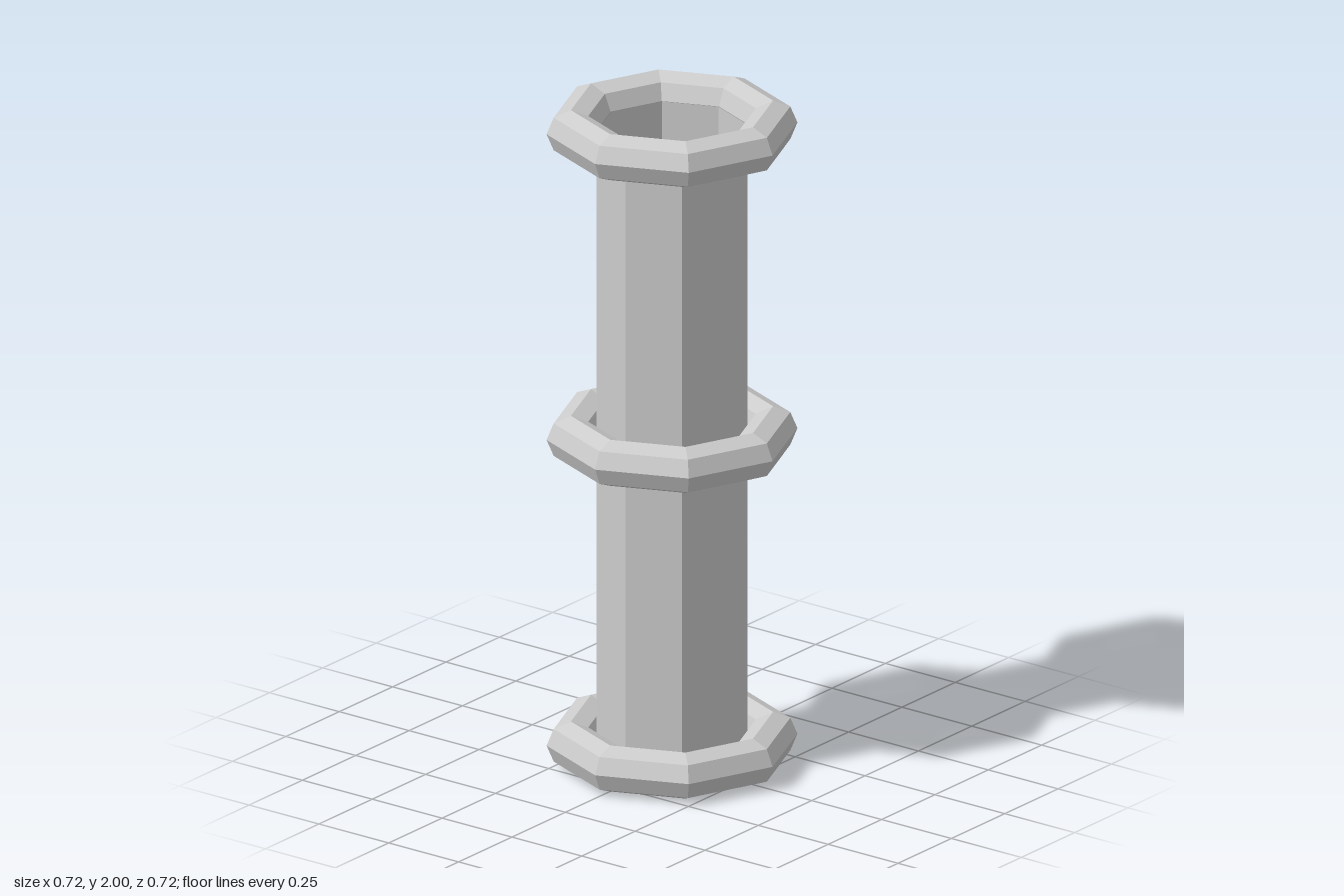
import * as THREE from 'three';

const SIDES = 8;
const RING_RADIUS = 0.29;
const RING_THICKNESS = 0.07;
const TUBE_RADIUS = 0.217;

export function createModel() {
  const group = new THREE.Group();
  const material = new THREE.MeshStandardMaterial({ color: 0xcccccc, flatShading: true });

  // Open octagonal pipe, ending at the middle of the end rings
  const wall = material.clone();
  wall.side = THREE.DoubleSide;
  const height = 2 - 2 * RING_THICKNESS;
  const pipe = new THREE.Mesh(
    new THREE.CylinderGeometry(TUBE_RADIUS, TUBE_RADIUS, height, SIDES, 1, true), wall);
  pipe.name = 'pipe';
  pipe.position.y = 1;
  group.add(pipe);

  // Faceted collars at the bottom, middle and top
  const ring = new THREE.TorusGeometry(RING_RADIUS, RING_THICKNESS, SIDES, SIDES).rotateX(Math.PI / 2);
  const collars = { bottomRing: RING_THICKNESS, middleRing: 1, topRing: 2 - RING_THICKNESS };
  for (const [name, y] of Object.entries(collars)) {
    const collar = new THREE.Mesh(ring, material);
    collar.name = name;
    collar.position.y = y;
    group.add(collar);
  }

  return group;
}
